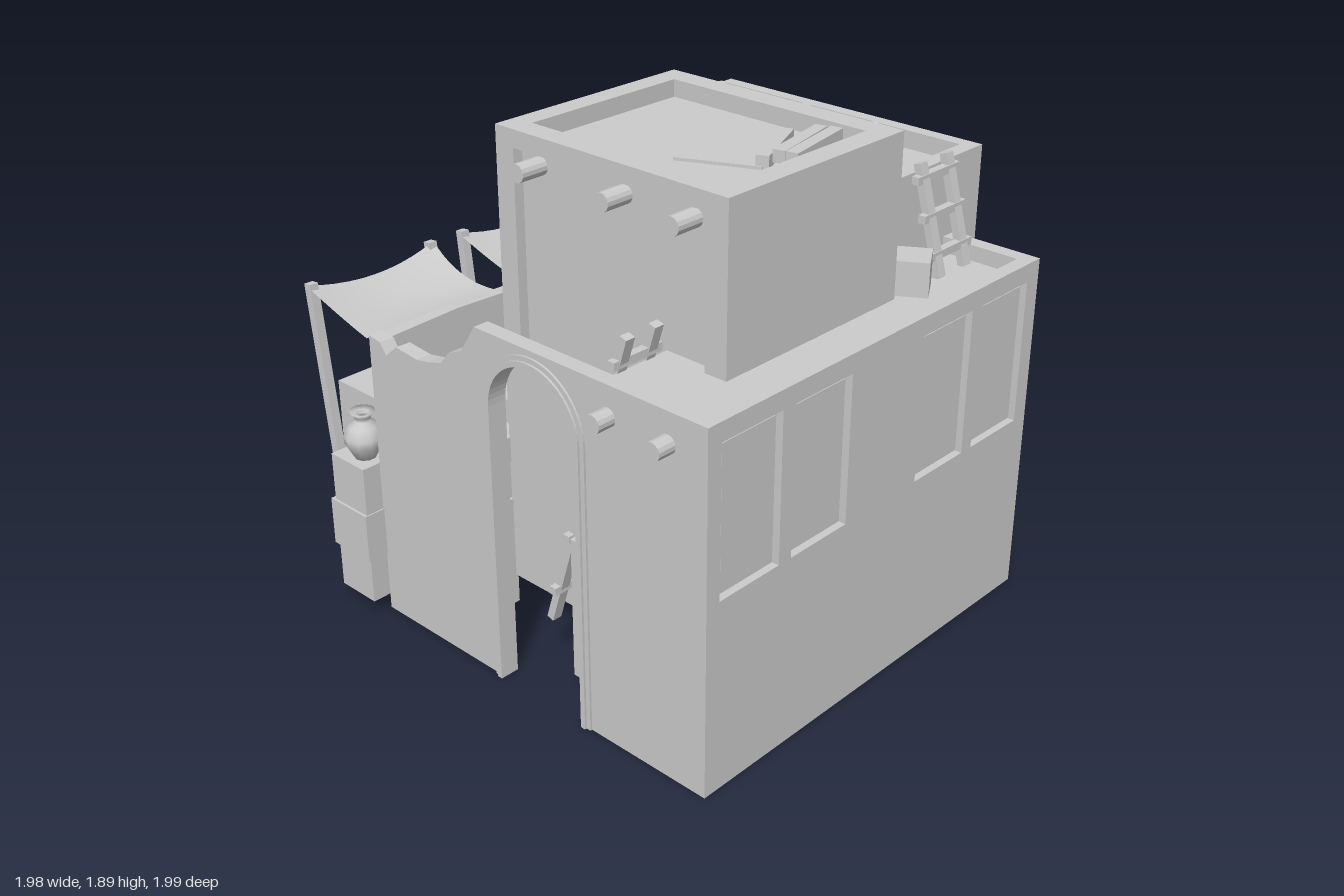
import * as THREE from 'three';

export function createModel() {
  const root = new THREE.Group();
  const mat = new THREE.MeshStandardMaterial({ color: 0xcccccc, flatShading: true, side: THREE.DoubleSide });
  const smooth = new THREE.MeshStandardMaterial({ color: 0xcccccc, side: THREE.DoubleSide });

  const add = (name, geo, x = 0, y = 0, z = 0, m = mat) => {
    const mesh = new THREE.Mesh(geo, m);
    mesh.name = name;
    mesh.position.set(x, y, z);
    root.add(mesh);
    return mesh;
  };
  // Box from its limits on each axis
  const box = (name, x0, x1, y0, y1, z0, z1) =>
    add(name, new THREE.BoxGeometry(x1 - x0, y1 - y0, z1 - z0), (x0 + x1) / 2, (y0 + y1) / 2, (z0 + z1) / 2);
  // Hollow box, open underneath
  const shell = (...args) => {
    const geo = box(...args).geometry;
    geo.setIndex([...geo.index.array].filter((v, i) => i < 18 || i >= 24));
    geo.clearGroups();
  };
  // Bar of rectangular section between two points
  const bar = (name, a, b, w = 0.03, h = w) => {
    const A = new THREE.Vector3(...a), B = new THREE.Vector3(...b);
    const m = add(name, new THREE.BoxGeometry(w, h, A.distanceTo(B)));
    m.position.copy(A).add(B).multiplyScalar(0.5);
    m.lookAt(B);
  };
  const peg = (name, x, y, z, axis, len = 0.12, r = 0.033) => {
    const m = add(name, new THREE.CylinderGeometry(r, r, len, 14), x, y, z);
    if (axis === 'z') m.rotation.x = Math.PI / 2;
    else m.rotation.z = Math.PI / 2;
  };
  // Turned vessels: profiles of [radius, height] fractions
  const vase = [[0, 0], [0.55, 0], [0.95, 0.3], [1, 0.48], [0.75, 0.68], [0.4, 0.8], [0.4, 0.88], [0.65, 1], [0.3, 0.95]];
  const bowl = [[0, 0], [0.6, 0], [1, 0.7], [1, 1], [0.85, 0.9], [0, 0.35]];
  const sack = [[0, 0], [0.85, 0.05], [1, 0.4], [0.85, 0.8], [0.45, 1], [0, 0.9]];
  const jar = [[0, 0], [0.5, 0], [0.75, 0.35], [1, 0.75], [0.9, 0.92], [0.6, 1], [0, 1]];
  const urn = [[0, 0], [0.55, 0], [0.9, 0.3], [1, 0.6], [0.95, 0.93], [0.8, 1], [0, 0.98]];
  const pot = (name, profile, x, y, z, r, h, seg = 10) =>
    add(name, new THREE.LatheGeometry(profile.map(([a, b]) => new THREE.Vector2(a * r, b * h)), seg), x, y, z, smooth);
  const extrude = (shape, depth) => new THREE.ExtrudeGeometry(shape, { depth, bevelEnabled: false, curveSegments: 14 });
  const outline = pts => new THREE.Shape(pts.map(p => new THREE.Vector2(...p)));

  // Front wall with ruined left top and arched doorway
  const front = outline([[-0.6, 0], [0.04, 0], [0.04, 1.08]]);
  front.absarc(0.24, 1.08, 0.2, Math.PI, 0, true);
  [[0.44, 0], [0.99, 0], [0.99, 1.34], [-0.03, 1.34], [-0.1, 1.23], [-0.17, 1.2], [-0.21, 1.15], [-0.28, 1.13],
    [-0.34, 1.12], [-0.45, 1.13], [-0.51, 1.08], [-0.54, 1.12], [-0.6, 1.13]].forEach(p => front.lineTo(...p));
  add('frontWall', extrude(front, 0.06), 0, 0, 0.85);

  // Door surround in two stepped bands
  for (const [r, z] of [[0.238, 0.918], [0.22, 0.926]]) {
    const s = outline([[0.24 - r, 0], [0.24 - r, 1.08]]);
    s.absarc(0.24, 1.08, r, Math.PI, 0, true);
    s.lineTo(0.24 + r, 0);
    s.lineTo(0.44, 0);
    s.lineTo(0.44, 1.08);
    s.absarc(0.24, 1.08, 0.2, 0, Math.PI, false);
    s.lineTo(0.04, 0);
    add('doorSurround', extrude(s, z - 0.88), 0, 0, 0.88);
  }

  // Right wing, with recessed windows in its outer wall
  shell('rightWing', 0.46, 0.962, 0, 1.28, -0.84, 0.85);
  const side = outline([[-0.84, 0], [0.85, 0], [0.85, 1.34], [-0.84, 1.34]]);
  for (const z of [0.71, 0.37, -0.293, -0.63]) {
    const hole = outline([[z - 0.14, 0.72], [z - 0.14, 1.27], [z + 0.14, 1.27], [z + 0.14, 0.72]]);
    side.holes.push(hole);
    box('windowPanel', 0.95, 0.975, 0.735, 1.255, z - 0.122, z + 0.122);
  }
  add('rightWall', extrude(side, 0.03).rotateY(-Math.PI / 2), 0.99);
  box('rightParapet', 0.935, 0.962, 1.28, 1.34, -0.84, 0.85);
  box('rightBackParapet', 0.62, 0.962, 1.28, 1.34, -0.84, -0.78);

  // Upper room: core, recessed front and parapet
  shell('upperRoom', -0.285, 0.75, 0.12, 1.82, -0.31, 0.52);
  box('upperFrontLintel', -0.285, 0.75, 1.82, 1.885, 0.47, 0.56);
  box('upperBackParapet', -0.285, 0.75, 1.82, 1.885, -0.31, -0.22);
  box('upperLeftParapet', -0.285, -0.2, 1.82, 1.885, -0.22, 0.47);
  box('upperRightParapet', 0.66, 0.75, 1.82, 1.885, -0.22, 0.47);
  box('upperFrontPier', -0.285, -0.2, 0.12, 1.82, 0.52, 0.56);
  box('upperFrontPier', 0.66, 0.75, 0.12, 1.82, 0.52, 0.56);
  box('upperFrontSill', -0.2, 0.66, 0.12, 1.05, 0.52, 0.56);

  // Back block with low parapets
  shell('backBlock', -0.6, 0.62, 0, 1.57, -0.99, -0.31);
  box('backParapet', -0.6, 0.62, 1.57, 1.64, -0.99, -0.935);
  box('backRightParapet', 0.56, 0.62, 1.57, 1.64, -0.935, -0.31);
  box('cornerPost', -0.6, -0.55, 1.1, 1.64, -0.37, -0.31);

  // Stairs beside the upper room, with their broken outer wall
  for (let i = 0; i < 12; i++)
    shell('stairStep', -0.55, -0.28, 1.46 - 0.095 * i, 1.56 - 0.095 * i, -0.32 + 0.09 * i, -0.23 + 0.09 * i);
  box('stairSide', -0.29, -0.28, 0, 0.45, 0.55, 0.85);
  add('stairWall', extrude(outline([[-0.31, 0], [0.85, 0], [0.85, 1.12], [0.55, 1.13], [0.3, 1.12], [-0.2, 1.13],
    [-0.27, 1.17], [-0.31, 1.3]]), 0.05).rotateY(-Math.PI / 2), -0.55);

  // Roof beam ends
  for (const x of [-0.11, 0.28, 0.58]) {
    peg('roofBeam', x, 1.77, 0.57, 'z');
    peg('roofBeam', x, 1.83, -0.32, 'z');
  }
  for (const x of [0.58, 0.83]) peg('roofBeam', x, 1.23, 0.92, 'z');
  for (const z of [-0.8, -0.47]) peg('roofBeam', -0.64, 1.555, z, 'x');

  // Upper roof mat and loose poles
  add('roofMat', new THREE.BoxGeometry(0.3, 0.012, 0.3), 0.345, 1.825, 0.09).rotation.y = 0.43;
  [[0.42, -0.11, 0.54, 0.16, 1.845], [0.53, -0.15, 0.59, 0.14, 1.87], [0.58, -0.17, 0.635, 0.13, 1.87]].forEach(
    ([x0, z0, x1, z1, y]) => bar('loosePole', [x0, y, z0], [x1, y, z1], 0.045));

  // Ladders: the two rails stand at z0 and z1, leaning along x
  const ladder = (a, b, z0, z1, rungs) => {
    for (const z of [z0, z1]) bar('ladderRail', [...a, z], [...b, z], 0.04, 0.03);
    for (let i = 0; i < rungs; i++) {
      const t = (i + 0.6) / rungs;
      const x = a[0] + (b[0] - a[0]) * t, y = a[1] + (b[1] - a[1]) * t;
      bar('ladderRung', [x, y, z0 - 0.045], [x, y, z1 + 0.045], 0.03);
    }
  };
  ladder([0.75, 1.28], [0.64, 1.68], -0.73, -0.575, 3);
  ladder([0.11, 0.2], [0.49, 1.41], 0.6, 0.73, 5);

  // Courtyard crate and vase
  box('courtyardCrate', 0.28, 0.46, 0.07, 0.62, 0.62, 0.8);
  pot('courtyardVase', vase, 0.39, 0.62, 0.72, 0.06, 0.24);

  // Goods on the right wing roof
  add('roofCrate', new THREE.BoxGeometry(0.13, 0.14, 0.14), 0.74, 1.34, -0.42).rotation.y = 0.55;
  bar('leaningPlank', [0.66, 1.28, -0.375], [0.65, 1.61, -0.325], 0.04);

  // Vessels and sacks on the back roof
  pot('grainSack', sack, -0.43, 1.57, -0.83, 0.11, 0.09, 14);
  pot('grainSack', sack, -0.2, 1.57, -0.39, 0.085, 0.08, 14);
  [[0.02, -0.38, 0.045, 0.1], [-0.1, -0.46, 0.03, 0.08], [-0.07, -0.39, 0.03, 0.07], [0.33, -0.37, 0.05, 0.11],
    [-0.28, -0.87, 0.022, 0.05]].forEach(([x, z, r, h]) => pot('roofVase', vase, x, 1.57, z, r, h));
  pot('roofBowl', bowl, 0.18, 1.57, -0.38, 0.05, 0.04);
  for (const x of [0.02, 0.33]) bar('driedStem', [x, 1.65, -0.375], [x + 0.015, 1.82, -0.38], 0.007);

  // Side door frame on the left of the back block
  box('sideDoorLintel', -0.61, -0.6, 1.03, 1.06, -0.9, -0.45);
  for (const z of [-0.9, -0.47]) box('sideDoorJamb', -0.61, -0.6, 0, 1.03, z, z + 0.02);

  // Garden wall at the back left
  add('gardenWall', extrude(outline([[-0.97, 0], [-0.6, 0], [-0.6, 0.88], [-0.68, 0.87], [-0.74, 0.81], [-0.82, 0.8],
    [-0.88, 0.73], [-0.97, 0.71]]), 0.045), 0, 0, -0.98);

  // Corrugated lean-to on four legs
  const sheet = new THREE.PlaneGeometry(0.26, 0.42, 1, 36).rotateX(-Math.PI / 2);
  const sp = sheet.attributes.position;
  for (let i = 0; i < sp.count; i++)
    sp.setY(i, 0.45 * sp.getX(i) + 0.022 * Math.sin((sp.getZ(i) + 0.21) / 0.42 * Math.PI * 12));
  sheet.computeVertexNormals();
  add('corrugatedRoof', sheet, -0.81, 0.74, -0.59, smooth);
  for (const z of [-0.79, -0.39])
    for (const [x, top] of [[-0.91, 0.72], [-0.7, 0.79]]) bar('leanToLeg', [x, 0.1, z], [x, top, z], 0.022);
  shell('leanToBin', -0.9, -0.6, 0.1, 0.62, -0.76, -0.4);

  // Market stalls, with a big urn and hanging jars between
  for (const [z0, z1] of [[-0.33, 0.17], [0.36, 0.86]]) shell('stallBlock', -0.88, -0.6, 0.1, 0.84, z0, z1);
  pot('urn', urn, -0.72, 0.17, 0.26, 0.12, 0.72, 8);
  for (let i = 0; i < 3; i++) pot('hangingJar', jar, -0.935, 0.27 + 0.183 * i, 0.27, 0.062, 0.19);

  // Stacked crates with a vase by the front corner
  box('crate', -0.785, -0.6, 0.06, 0.24, 0.86, 0.985);
  box('crate', -0.8, -0.595, 0.24, 0.43, 0.86, 0.995);
  box('crate', -0.785, -0.6, 0.43, 0.62, 0.86, 0.985);
  pot('crateVase', vase, -0.68, 0.62, 0.91, 0.075, 0.185);

  // Sagging cloth awnings with slanted poles
  for (const [z0, z1] of [[-0.36, 0.21], [0.33, 0.92]]) {
    const cloth = new THREE.PlaneGeometry(2, 2, 10, 10).rotateX(-Math.PI / 2);
    const p = cloth.attributes.position;
    for (let i = 0; i < p.count; i++) {
      const u = p.getX(i), v = p.getZ(i);
      const pinch = 1 - 0.06 * (1 - u * u), t = (1 - u) / 2;
      p.setXYZ(i, -0.6 - t * 0.34 + 0.02 * (1 - v * v) * t,
        1.12 + 0.1 * t * t - 0.04 * (1 - v * v) * t,
        (z0 + z1) / 2 + v * pinch * (z1 - z0) / 2);
    }
    cloth.computeVertexNormals();
    add('clothAwning', cloth, 0, 0, 0, smooth);
    for (const z of [z0 + 0.02, z1 - 0.02]) bar('awningPole', [-0.83, 0.32, z], [-0.935, 1.225, z], 0.035);
  }
  return root;
}
